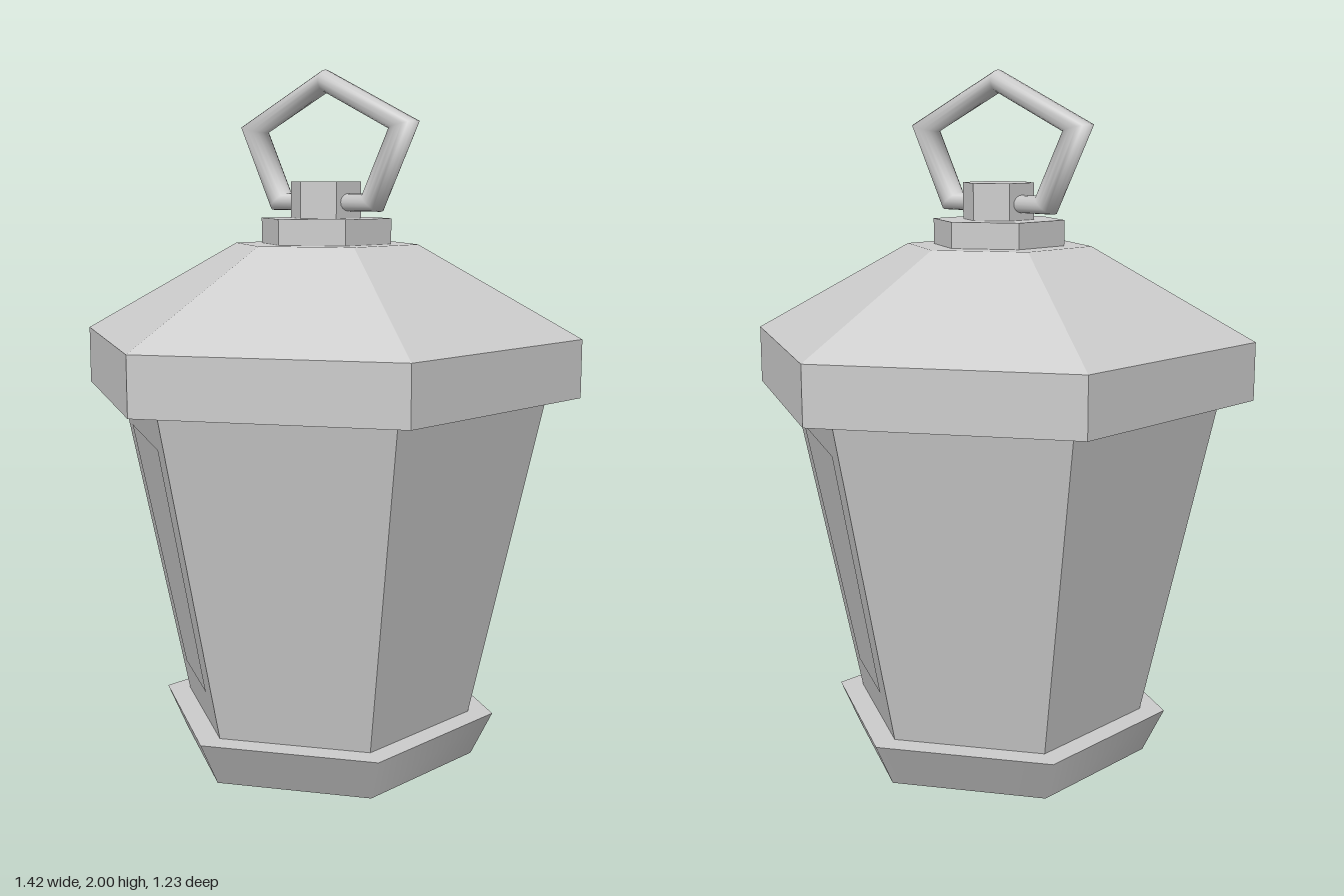
import * as THREE from 'three';

const flat = new THREE.MeshStandardMaterial({ color: 0xcccccc, flatShading: true });
const smooth = new THREE.MeshStandardMaterial({ color: 0xcccccc });

export function createModel() {
  const lantern = new THREE.Group();
  lantern.name = 'lantern';

  const add = (name, geometry, material = flat) => {
    const mesh = new THREE.Mesh(geometry, material);
    mesh.name = name;
    lantern.add(mesh);
    return mesh;
  };

  // Six-sided prism or frustum from y0 to y1, with corners on the x axis
  const hex = (name, y0, r0, y1, r1, material) => {
    const g = new THREE.CylinderGeometry(r1, r0, y1 - y0, 6);
    g.rotateY(Math.PI / 6);
    g.translate(0, (y0 + y1) / 2, 0);
    return add(name, g, material);
  };

  hex('foot', 0, 0.16, 0.075, 0.2);
  hex('baseTray', 0.075, 0.43, 0.2, 0.49, smooth);
  hex('body', 0.2, 0.42, 1.12, 0.62);
  hex('roofFascia', 1.12, 0.712, 1.28, 0.712);
  hex('roof', 1.28, 0.712, 1.53, 0.26);
  hex('collar', 1.53, 0.185, 1.6, 0.185);
  hex('knob', 1.6, 0.1, 1.7, 0.1);

  // Tapered window panes lying just proud of each body face
  const bodyApothem = (y) => (0.42 + (y - 0.2) * (0.2 / 0.92)) * Math.cos(Math.PI / 6);
  for (let i = 0; i < 6; i++) {
    const g = new THREE.PlaneGeometry(1, 1);
    const p = g.attributes.position;
    for (let k = 0; k < p.count; k++) {
      const top = p.getY(k) > 0;
      const y = top ? 1.01 : 0.31;
      p.setXYZ(k, Math.sign(p.getX(k)) * (top ? 0.215 : 0.14), y, bodyApothem(y) + 0.002);
    }
    g.rotateY((i * Math.PI) / 3);
    g.computeVertexNormals();
    add('windowPane' + (i + 1), g);
  }

  // Squashed five-sided carrying ring that passes through the knob
  const ring = new THREE.TorusGeometry(0.296, 0.049, 16, 5);
  ring.rotateZ(Math.PI / 2);
  ring.rotateY(Math.PI / 2);
  ring.scale(0.67, 0.61, 1);
  ring.translate(0, 1.79, 0);
  add('carryRing', ring, smooth);

  return lantern;
}
